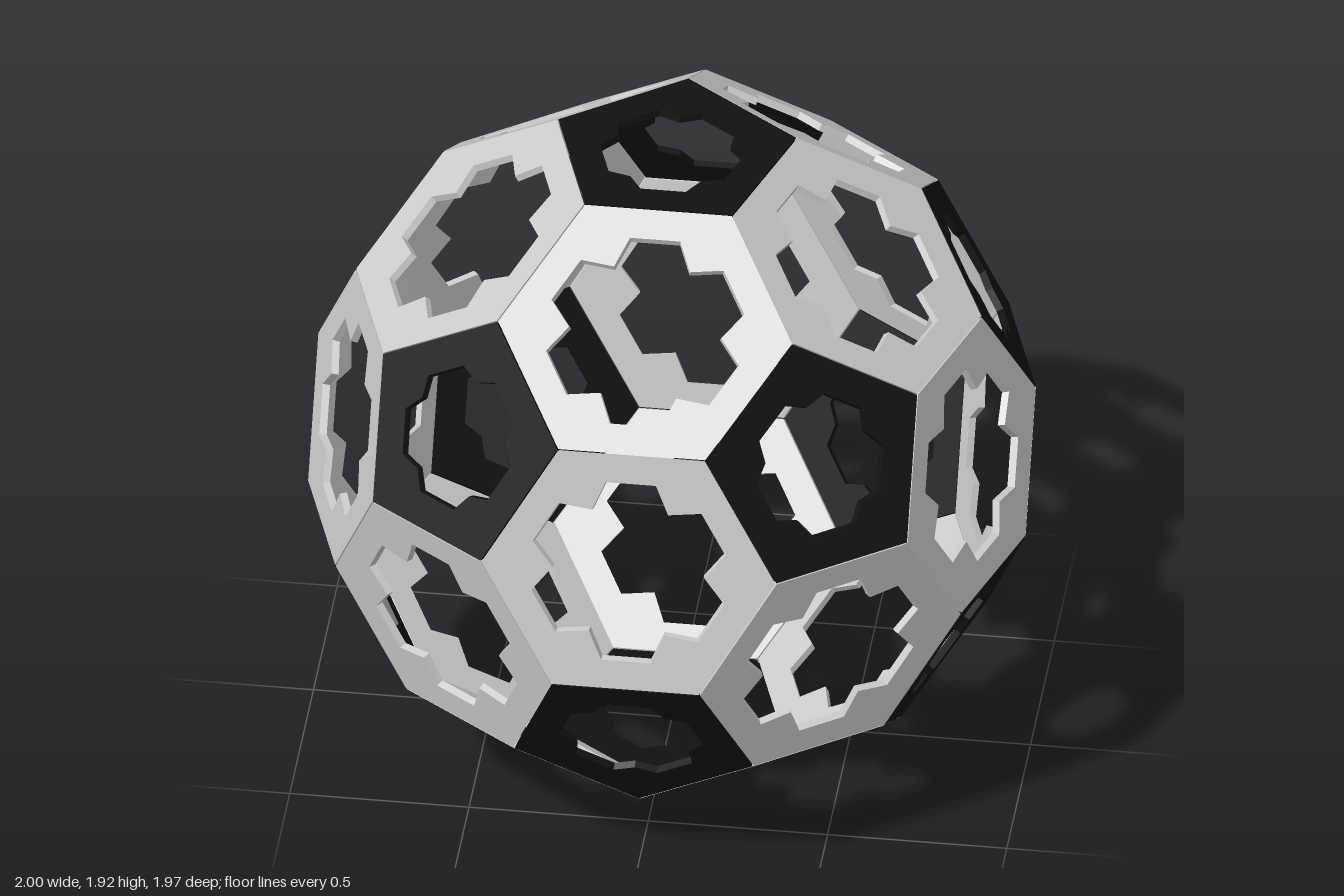
import * as THREE from 'three';

const EDGE = 0.4125;      // edge shared by all panels
const THICK = 0.02;       // shell thickness
const SEAM = 0.994;       // slight shrink that leaves a fine seam between panels

// Points of a regular polygon with the middle of one edge towards +y
function outline(sides) {
  const r = EDGE / (2 * Math.sin(Math.PI / sides)) * SEAM;
  return Array.from({ length: sides }, (_, i) => {
    const a = Math.PI / 2 + (i + 0.5) * 2 * Math.PI / sides;
    return new THREE.Vector2(r * Math.cos(a), r * Math.sin(a));
  });
}

// Blunt star: one flat lobe facing each edge, one notch facing each corner
function starHole(sides, reach, halfWidth, notch) {
  const pts = [];
  const mid = new THREE.Vector2();
  for (let i = 0; i < sides; i++) {
    const a = i * 2 * Math.PI / sides;
    const b = Math.PI / 2 + a + Math.PI / sides;
    pts.push(new THREE.Vector2(halfWidth, reach).rotateAround(mid, a));
    pts.push(new THREE.Vector2(-halfWidth, reach).rotateAround(mid, a));
    pts.push(new THREE.Vector2(notch * Math.cos(b), notch * Math.sin(b)));
  }
  return pts;
}

// Panel tapering towards the ball's centre; outer face at z = dist
function panelGeometry(sides, dist, reach, halfWidth, notch) {
  const shape = new THREE.Shape(outline(sides));
  shape.holes.push(new THREE.Path(starHole(sides, reach, halfWidth, notch)));
  const geo = new THREE.ExtrudeGeometry(shape, { depth: THICK, bevelEnabled: false });
  geo.translate(0, 0, dist - THICK);
  const p = geo.attributes.position;
  for (let i = 0; i < p.count; i++) {
    const s = p.getZ(i) / dist;
    p.setXY(i, p.getX(i) * s, p.getY(i) * s);
  }
  geo.computeVertexNormals();
  return geo;
}

export function createModel() {
  const model = new THREE.Group();
  const ball = new THREE.Group();
  ball.name = 'panelBall';
  const pentDist = 2.3274 * EDGE;
  const hexDist = 2.2673 * EDGE;
  ball.position.y = pentDist;
  model.add(ball);

  const black = new THREE.MeshStandardMaterial({ color: 0x111111 });
  const grey = new THREE.MeshStandardMaterial({ color: 0xcccccc });
  const pentGeo = panelGeometry(5, pentDist, 0.19, 0.063, 0.167);
  const hexGeo = panelGeometry(6, hexDist, 0.27, 0.07, 0.212);

  // Directions of the twelve pentagons: two poles and two staggered rings
  const dirs = [new THREE.Vector3(0, 1, 0), new THREE.Vector3(0, -1, 0)];
  const h = 1 / Math.sqrt(5);
  for (let i = 0; i < 5; i++) {
    const a = i * 2 * Math.PI / 5;
    const x = 2 * h * Math.sin(a), z = 2 * h * Math.cos(a);
    dirs.push(new THREE.Vector3(x, h, -z), new THREE.Vector3(x, -h, z));
  }
  const near = (a, b) => Math.abs(a.dot(b) - h) < 0.01;

  // Place a panel facing n, with an edge turned towards the given direction
  function addPanel(name, geo, mat, n, towards) {
    const up = towards.clone().addScaledVector(n, -towards.dot(n)).normalize();
    const mesh = new THREE.Mesh(geo, mat);
    mesh.name = name;
    const side = new THREE.Vector3().crossVectors(up, n);
    mesh.quaternion.setFromRotationMatrix(new THREE.Matrix4().makeBasis(side, up, n));
    ball.add(mesh);
  }

  // Black pentagons: corners point at neighbours, so edges face away from them
  for (const n of dirs) {
    const neighbour = dirs.find((d) => near(d, n));
    addPanel('pentagonPanel', pentGeo, black, n, neighbour.clone().negate());
  }

  // Grey hexagons: one between every three neighbouring pentagons
  for (let i = 0; i < 12; i++)
    for (let j = i + 1; j < 12; j++)
      for (let k = j + 1; k < 12; k++) {
        const [a, b, c] = [dirs[i], dirs[j], dirs[k]];
        if (!near(a, b) || !near(b, c) || !near(a, c)) continue;
        const n = a.clone().add(b).add(c).normalize();
        addPanel('hexagonPanel', hexGeo, grey, n, a);
      }
  return model;
}
